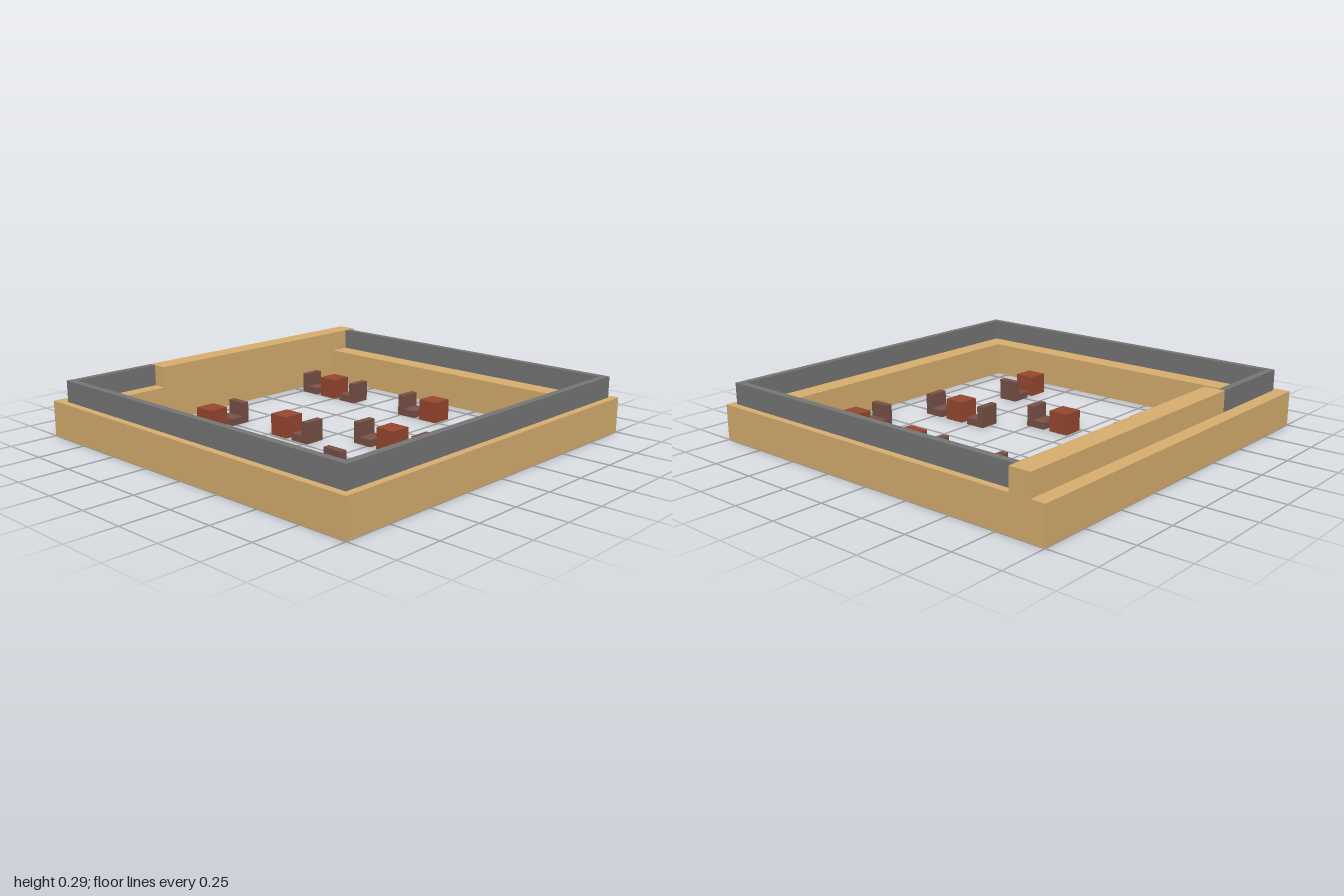
import * as THREE from 'three';

const U = 2 / 55; // planning unit: rail, seat and backrest thickness
const LEDGE = 5; // height of the base frame
const TOP = 8; // height of rails and counter
const SIZE = 3; // width and height of tables and chairs

const flat = (name, color) => {
  const m = new THREE.MeshStandardMaterial({ color });
  m.name = name;
  return m;
};

// Box from its minimum and maximum corners, in units
function block(name, material, [x0, y0, z0], [x1, y1, z1]) {
  const geometry = new THREE.BoxGeometry((x1 - x0) * U, (y1 - y0) * U, (z1 - z0) * U);
  const mesh = new THREE.Mesh(geometry, material);
  mesh.position.set(x0 + x1, y0 + y1, z0 + z1).multiplyScalar(U / 2);
  mesh.name = name;
  return mesh;
}

function square(Type, r) {
  const s = new Type();
  s.moveTo(-r, -r).lineTo(r, -r).lineTo(r, r).lineTo(-r, r).closePath();
  return s;
}

export function createModel() {
  const model = new THREE.Group();
  model.name = 'terrace';
  const tan = flat('tan wood', 0xdab070);
  const grey = flat('grey rail', 0x777777);
  const red = flat('red brown table', 0x994830);
  const brown = flat('dark brown chair', 0x795247);

  // Hollow square base
  const shape = square(THREE.Shape, 27.5 * U);
  shape.holes.push(square(THREE.Path, 22.5 * U));
  const frameGeometry = new THREE.ExtrudeGeometry(shape, { depth: LEDGE * U, bevelEnabled: false });
  frameGeometry.rotateX(-Math.PI / 2);
  const frame = new THREE.Mesh(frameGeometry, tan);
  frame.name = 'baseFrame';
  model.add(frame);

  // Raised counter at the back
  model.add(block('backCounter', tan, [-12.5, LEDGE, -25.5], [27.5, TOP, -22.5]));

  // Railing round the remaining edge
  const rails = new THREE.Group();
  rails.name = 'railing';
  rails.add(
    block('frontRail', grey, [-26.5, LEDGE, 25.5], [26.5, TOP, 26.5]),
    block('rightRail', grey, [-26.5, LEDGE, -25.5], [-25.5, TOP, 25.5]),
    block('leftRail', grey, [25.5, LEDGE, -22.5], [26.5, TOP, 25.5]),
    block('backRail', grey, [-25.5, LEDGE, -25.5], [-12.5, TOP, -24.5]),
  );
  model.add(rails);

  // Chair with its backrest towards local +x
  const h = SIZE / 2;
  function chair() {
    const g = new THREE.Group();
    g.name = 'chair';
    g.add(
      block('chairSeat', brown, [-h, 0, -h], [h - 1, 1, h]),
      block('chairBack', brown, [h - 1, 0, -h], [h, SIZE, h]),
    );
    return g;
  }

  // Tables: x, z, then the direction of each chair in quarter turns from +x towards -z
  const sets = [
    [-10, -15, [0, 2]],
    [15, -15, [1, 3]],
    [-5, -5, [3]],
    [15, 5, [1]],
    [0, 10, [1, 3]],
    [-17, 11, [0]],
    [14, 17, [0, 2]],
  ];
  for (const [x, z, turns] of sets) {
    const set = new THREE.Group();
    set.name = 'tableSet';
    set.position.set(x * U, 0, z * U);
    set.add(block('table', red, [-h, 0, -h], [h, SIZE, h]));
    for (const t of turns) {
      const c = chair();
      const a = t * Math.PI / 2;
      c.position.set(4 * U * Math.cos(a), 0, -4 * U * Math.sin(a));
      c.rotation.y = a;
      set.add(c);
    }
    model.add(set);
  }
  return model;
}
